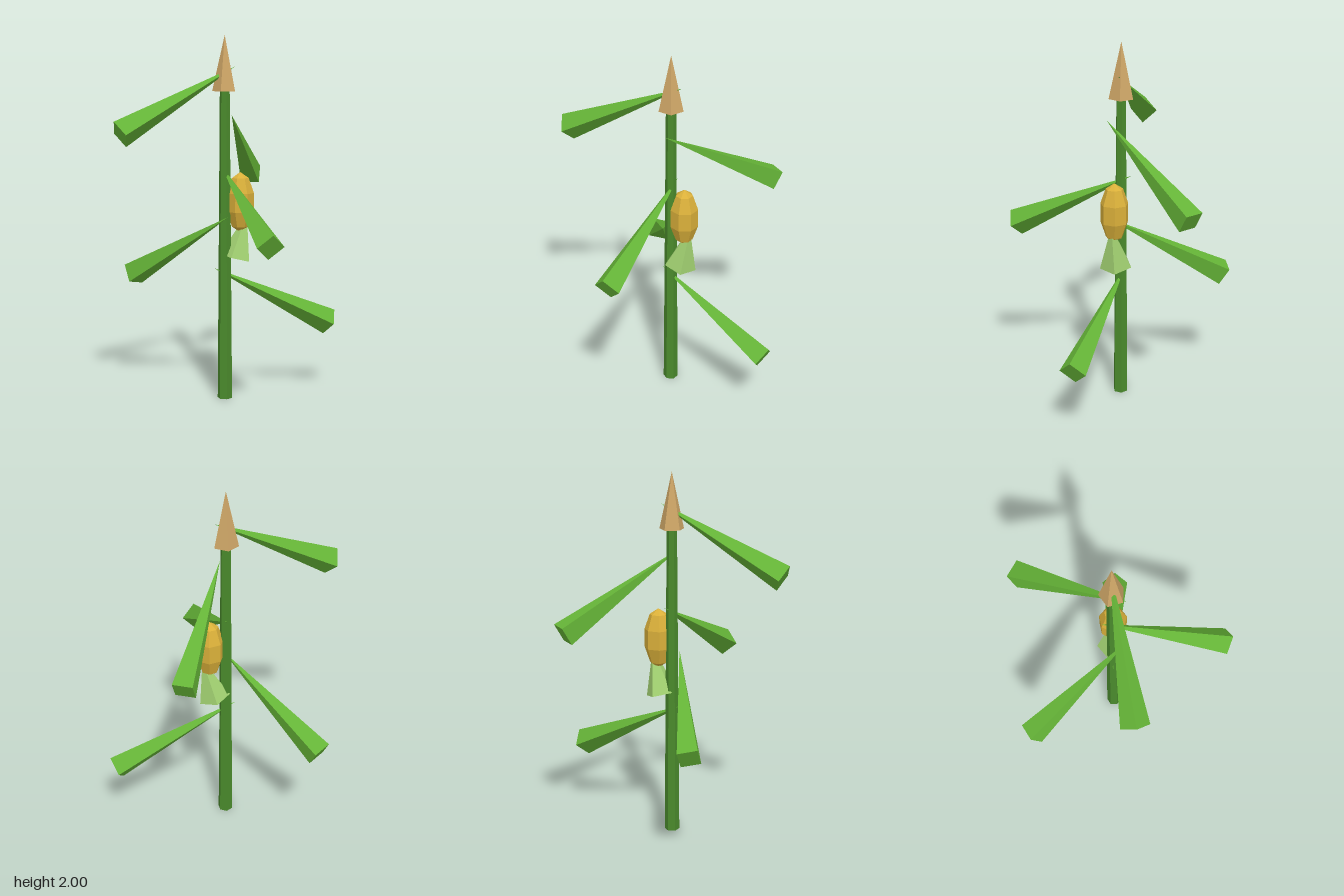
import * as THREE from 'three';

const flat = (name, color) => {
  const m = new THREE.MeshStandardMaterial({ color, flatShading: true });
  m.name = name;
  return m;
};

export function createModel() {
  const model = new THREE.Group();
  model.name = 'cornPlant';
  const stalkGreen = flat('stalk green', 0x4a8a2c);
  const leafGreen = flat('leaf green', 0x65b437);
  const huskGreen = flat('husk green', 0xa0cf70);
  const cobYellow = flat('cob yellow', 0xdab03a);
  const tasselTan = flat('tassel tan', 0xcda566);

  const X = -0.01, Z = -0.045; // stalk axis
  const add = (name, geometry, material, x, y, z) => {
    const mesh = new THREE.Mesh(geometry, material);
    mesh.name = name;
    mesh.position.set(x, y, z);
    model.add(mesh);
    return mesh;
  };

  // Stalk and tassel
  add('stalk', new THREE.CylinderGeometry(0.027, 0.041, 1.75, 6), stalkGreen, X, 0.875, Z);
  add('tassel', new THREE.ConeGeometry(0.068, 0.3, 5).rotateY(Math.PI), tasselTan, X, 1.85, Z);

  // Cob sitting in a leaning husk
  add('cob', new THREE.SphereGeometry(0.08, 7, 5).scale(1, 2.07, 1), cobYellow, 0.078, 1.095, Z);
  const husk = add('husk', new THREE.ConeGeometry(0.09, 0.25, 5).rotateY(Math.PI), huskGreen, 0.086, 0.908, Z);
  husk.rotation.z = -0.25;

  // Leaves: four-sided spikes, pointed at the stalk and broad at the drooping end
  const addLeaf = (tip, end, roll) => {
    const a = new THREE.Vector3(...tip), b = new THREE.Vector3(...end);
    const d = b.clone().sub(a);
    const leaf = new THREE.Mesh(new THREE.ConeGeometry(0.075, d.length(), 4).rotateY(roll), leafGreen);
    leaf.name = 'leaf';
    leaf.rotation.z = Math.atan2(Math.hypot(d.x, d.z), -d.y);
    const pivot = new THREE.Group();
    pivot.name = 'leafPivot';
    pivot.position.copy(a).lerp(b, 0.5);
    pivot.rotation.y = Math.atan2(-d.z, d.x);
    pivot.add(leaf);
    model.add(pivot);
  };
  addLeaf([-0.07, 0.735, -0.045], [0.61, 0.39, -0.045], 0);
  addLeaf([-0.012, 1.025, 0.025], [-0.42, 0.645, -0.495], 0.56);
  addLeaf([-0.006, 1.285, -0.107], [0.035, 0.94, 0.575], 0);
  addLeaf([0.005, 1.575, 0.03], [0.315, 1.193, -0.565], Math.PI / 4);
  addLeaf([0.05, 1.83, -0.055], [-0.615, 1.487, 0.075], 0);

  return model;
}
